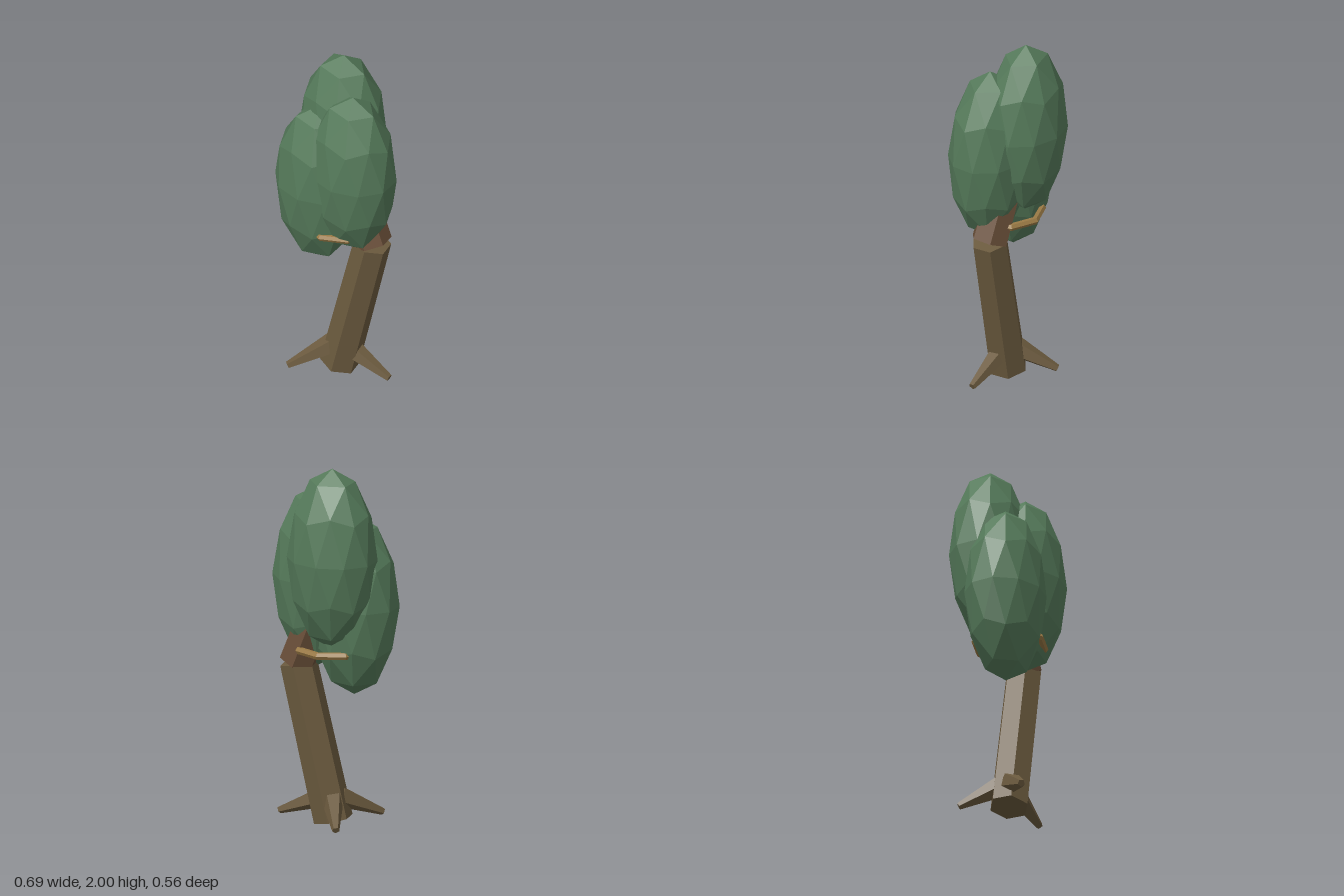
import * as THREE from 'three';

const material = (name, color) => {
  const m = new THREE.MeshStandardMaterial({ color, flatShading: true });
  m.name = name;
  return m;
};

export function createModel() {
  const bark = material('bark', 0x6b5a3e);
  const darkBark = material('upper bark', 0x6a4f39);
  const leaf = material('leaf green', 0x557a5a);
  const straw = material('rope tan', 0x9a7a45);
  const tree = new THREE.Group();
  tree.name = 'tree';

  const add = (name, geometry, mat, position = [0, 0, 0]) => {
    const mesh = new THREE.Mesh(geometry, mat);
    mesh.name = name;
    mesh.position.set(...position);
    tree.add(mesh);
    return mesh;
  };

  // Tapered prism running from one point to another
  const limb = (name, from, to, r0, r1, sides, twist, mat) => {
    const a = new THREE.Vector3(...from);
    const dir = new THREE.Vector3(...to).sub(a);
    const length = dir.length();
    const g = new THREE.CylinderGeometry(r1, r0, length, sides, 1, false, twist);
    g.translate(0, length / 2, 0);
    const mesh = add(name, g, mat, from);
    mesh.quaternion.setFromUnitVectors(new THREE.Vector3(0, 1, 0), dir.normalize());
    return mesh;
  };

  // Leaning trunk, then a bent upper piece reaching into the leaves
  limb('trunk', [-0.005, 0.025, 0.023], [0.187, 0.885, -0.004], 0.108, 0.102, 6, 0.14, bark);
  limb('upperTrunk', [0.19, 0.885, -0.004], [0.08, 1.16, -0.015], 0.104, 0.1, 6, 0.14, darkBark);

  // Three splayed roots
  const tips = [[0.31, 0.02], [-0.205, 0.225], [-0.13, -0.215]];
  tips.forEach(([x, z], i) => {
    const angle = Math.atan2(z - 0.02, x);
    const start = [0.04 * Math.cos(angle), 0.15, 0.02 + 0.04 * Math.sin(angle)];
    limb('root' + (i + 1), start, [x, 0.038, z], 0.062, 0.02, 5, Math.PI / 2 - angle, bark);
  });

  // Rope ring half hidden by the leaves
  const ring = new THREE.TorusGeometry(0.19, 0.021, 6, 8);
  ring.rotateX(Math.PI / 2);
  add('ropeRing', ring, straw, [0, 0.978, 0.026]);

  // Tall faceted leaf clusters, each with a corner at its pole
  const cluster = new THREE.IcosahedronGeometry(1, 1);
  cluster.rotateZ(-Math.atan(2 / (1 + Math.sqrt(5))));
  cluster.scale(0.25, 0.5, 0.21);
  add('topLeaves', cluster, leaf, [-0.042, 1.5, -0.07]);
  add('leftLeaves', cluster, leaf, [0.103, 1.358, 0.06]);
  add('rightLeaves', cluster, leaf, [-0.108, 1.22, 0.067]);

  return tree;
}
